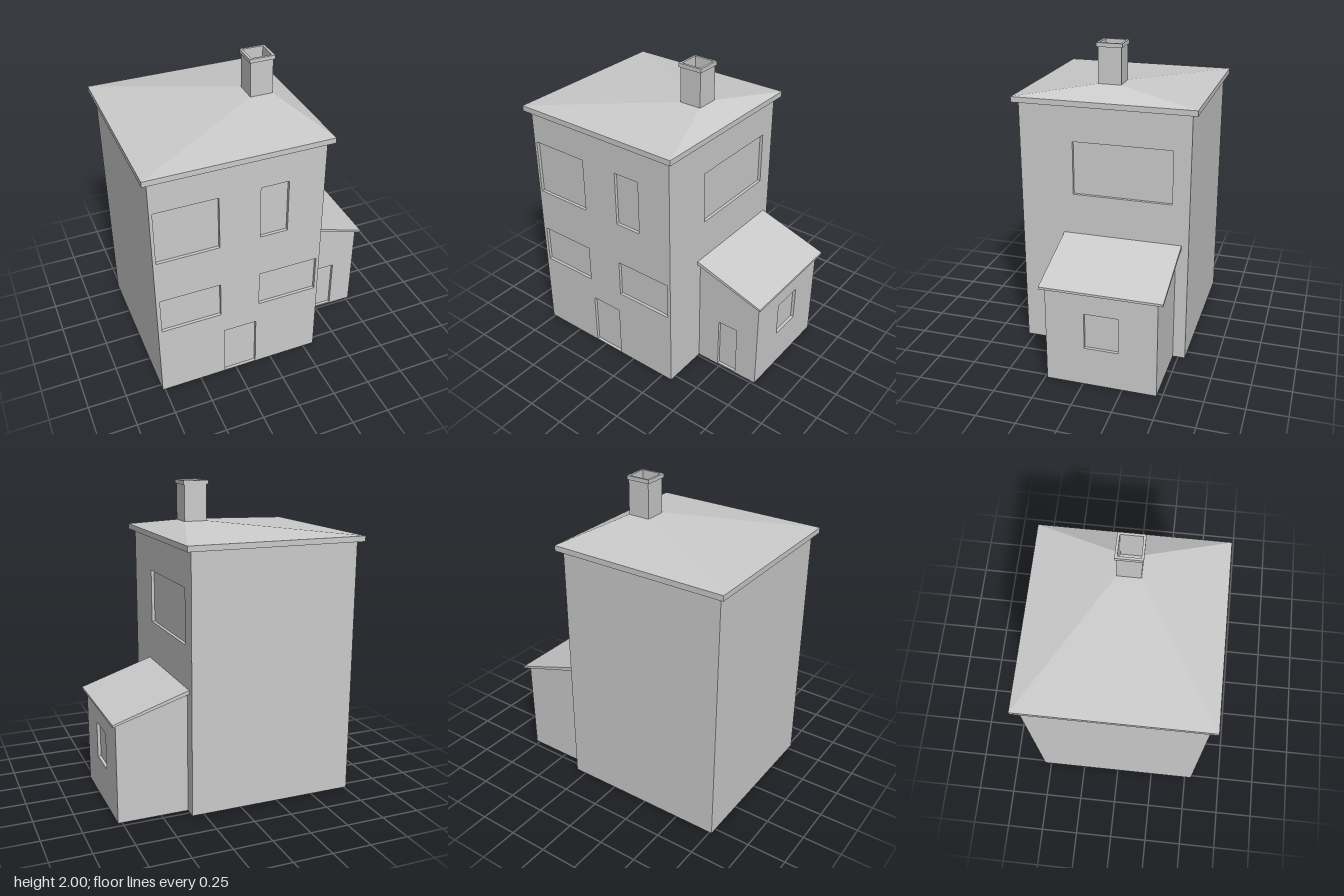
import * as THREE from 'three';

const material = new THREE.MeshStandardMaterial({ color: 0xcccccc });
const RECESS = 0.02;

function addMesh(group, name, geometry) {
  const mesh = new THREE.Mesh(geometry, material);
  mesh.name = name;
  group.add(mesh);
  return mesh;
}

// Box given by its lower and upper limits on each axis
function addBox(group, name, [x0, x1], [y0, y1], [z0, z1]) {
  const mesh = addMesh(group, name, new THREE.BoxGeometry(x1 - x0, y1 - y0, z1 - z0));
  mesh.position.set((x0 + x1) / 2, (y0 + y1) / 2, (z0 + z1) / 2);
  return mesh;
}

const rect = (x0, x1, y0, y1) => [[x0, y0], [x1, y0], [x1, y1], [x0, y1]];

// Flat outline with holes, extruded along +z
function slab(outline, depth, holes = []) {
  const toPoints = (list) => list.map(([x, y]) => new THREE.Vector2(x, y));
  const shape = new THREE.Shape(toPoints(outline));
  for (const hole of holes) shape.holes.push(new THREE.Path(toPoints(hole)));
  return new THREE.ExtrudeGeometry(shape, { depth, bevelEnabled: false });
}

// Wall facing +z, its outer face at z
function addFrontWall(group, name, outline, z, holes) {
  addMesh(group, name, slab(outline, RECESS, holes)).position.z = z - RECESS;
}

// Wall facing +x, its outer face at x; outline runs along -z
function addSideWall(group, name, outline, x, holes) {
  const geometry = slab(outline, RECESS, holes).rotateY(Math.PI / 2);
  addMesh(group, name, geometry).position.x = x - RECESS;
}

// Four sloping faces between two rectangles, closed on top
function hipGeometry(lower, upper) {
  const ring = ({ x0, x1, z, y }) => [[x0, y, z], [x1, y, z], [x1, y, -z], [x0, y, -z]];
  const a = ring(lower), b = ring(upper), points = [];
  const quad = (p, q, r, s) => points.push(...p, ...q, ...r, ...p, ...r, ...s);
  for (let i = 0; i < 4; i++) {
    const j = (i + 1) % 4;
    quad(a[i], a[j], b[j], b[i]);
  }
  quad(...b);
  const geometry = new THREE.BufferGeometry();
  geometry.setAttribute('position', new THREE.Float32BufferAttribute(points, 3));
  geometry.computeVertexNormals();
  return geometry;
}

function createTower() {
  const group = new THREE.Group();
  group.name = 'mainHouse';
  const x0 = -0.765, x1 = 0.325, z = 0.545, top = 1.64;
  addBox(group, 'mainBody', [x0, x1 - RECESS], [0, top], [-z, z - RECESS]);
  addFrontWall(group, 'frontWall', rect(x0, x1, 0, top), z, [
    rect(-0.745, -0.35, 1.065, 1.425), // upper windows
    rect(-0.09, 0.09, 1.065, 1.425),
    rect(-0.74, -0.35, 0.52, 0.77), // middle windows
    rect(-0.09, 0.303, 0.52, 0.77),
    rect(-0.33, -0.11, 0.004, 0.37), // door
  ]);
  addSideWall(group, 'sideWall', rect(RECESS - z, z, 0, top), x1, [
    rect(-0.2, 0.435, 1.065, 1.41),
  ]);

  // Hipped roof with a flat fascia
  addBox(group, 'roofEaves', [-0.8, 0.36], [top, 1.675], [-0.58, 0.58]);
  addMesh(group, 'hippedRoof', hipGeometry(
    { x0: -0.8, x1: 0.36, z: 0.58, y: 1.675 },
    { x0: 0.04, x1: 0.188, z: 0.074, y: 1.75 },
  ));
  return group;
}

function createChimney() {
  const group = new THREE.Group();
  group.name = 'chimney';
  const tube = (name, half, y0, y1) => {
    const inner = 0.066;
    const geometry = slab(rect(-half, half, -half, half), y1 - y0, [rect(-inner, inner, -inner, inner)]);
    addMesh(group, name, geometry.rotateX(-Math.PI / 2)).position.y = y0;
  };
  tube('chimneyStack', 0.073, 1.74, 1.975);
  tube('chimneyCap', 0.081, 1.975, 2);
  group.position.x = 0.115;
  return group;
}

function createAnnex() {
  const group = new THREE.Group();
  group.name = 'sideAnnex';
  const x0 = 0.325, x1 = 0.775, back = -0.465, front = 0.235;
  const under = (x) => 0.775 - (x - x0) * 0.305; // underside of the lean-to roof
  const profile = (x) => [[x0, 0], [x, 0], [x, under(x)], [x0, under(x0)]];

  addMesh(group, 'annexBody', slab(profile(x1 - RECESS), front - RECESS - back)).position.z = back;
  addFrontWall(group, 'annexFrontWall', profile(x1), front, [rect(0.48, 0.62, 0.01, 0.365)]);
  addSideWall(group, 'annexSideWall', rect(RECESS - front, -back, 0, under(x1)), x1, [
    rect(0.01, 0.225, 0.255, 0.49),
  ]);
  const roof = [[x0, under(x0)], [0.8, under(0.8)], [0.8, 0.645], [x0, 0.8]];
  addMesh(group, 'annexRoof', slab(roof, 0.765)).position.z = -0.5;
  return group;
}

export function createModel() {
  const house = new THREE.Group();
  house.name = 'house';
  house.add(createTower(), createChimney(), createAnnex());
  return house;
}
